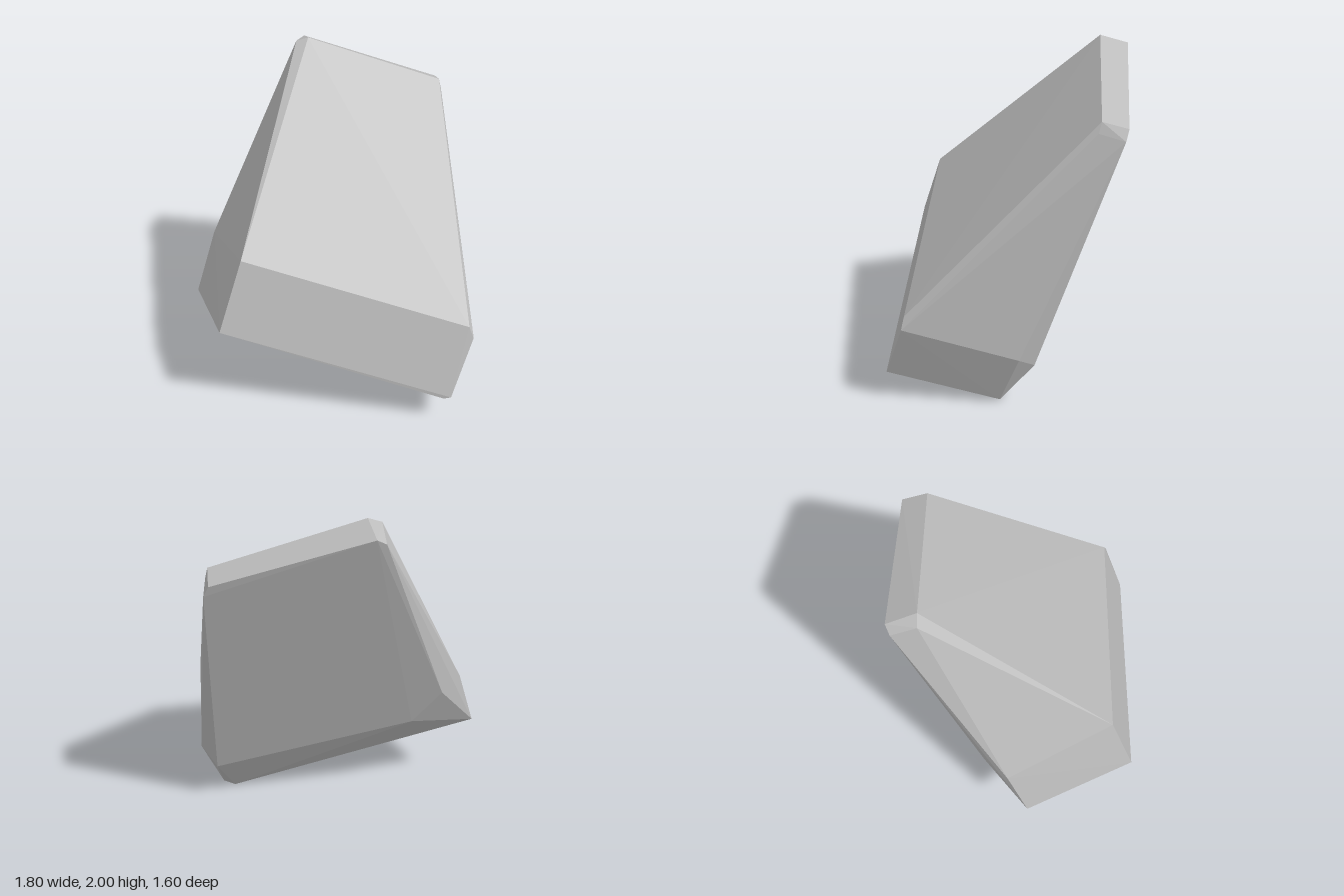
import * as THREE from 'three';
import { ConvexGeometry } from 'three/addons/geometries/ConvexGeometry.js';

// Chipped slab of stone, described by its corners; each corner is a small chamfer.
const corners = {
  topLeft: [[0.24, 2.0, -0.64], [0.19, 1.98, -0.69], [0.33, 1.95, -0.78], [0.28, 1.92, -0.8]],
  topRight: [[0.8, 1.74, -0.08], [0.89, 1.7, -0.19], [0.9, 1.64, -0.16], [0.8, 1.68, -0.06]],
  sideUpper: [[-0.71, 1.07, -0.18]],
  sideLower: [[-0.9, 0.66, -0.18]],
  frontUpper: [[0.2, 0.57, 0.8], [0.19, 0.64, 0.77]],
  frontLower: [[0.03, 0.21, 0.8], [0, 0.2, 0.77]],
  foot: [[0.46, 0.02, 0.3], [0.42, 0, 0.24]],
  rightEdge: [[0.62, 0.37, 0.3], [0.61, 0.28, 0.17]],
  backLower: [[-0.62, 0.49, -0.8]],
  backBevel: [[-0.46, 0.865, -0.79], [-0.51, 0.93, -0.6], [-0.28, 0.835, -0.8], [-0.21, 0.6, -0.65]],
};

export function createModel() {
  const group = new THREE.Group();
  group.name = 'rock';

  const stone = new THREE.MeshStandardMaterial({ color: 0xbcbcbc });
  stone.name = 'stone grey';

  // Flat facets wrapped around the corners
  const points = Object.values(corners).flat().map((p) => new THREE.Vector3(...p));
  const slab = new THREE.Mesh(new ConvexGeometry(points), stone);
  slab.name = 'stoneSlab';
  group.add(slab);

  return group;
}
